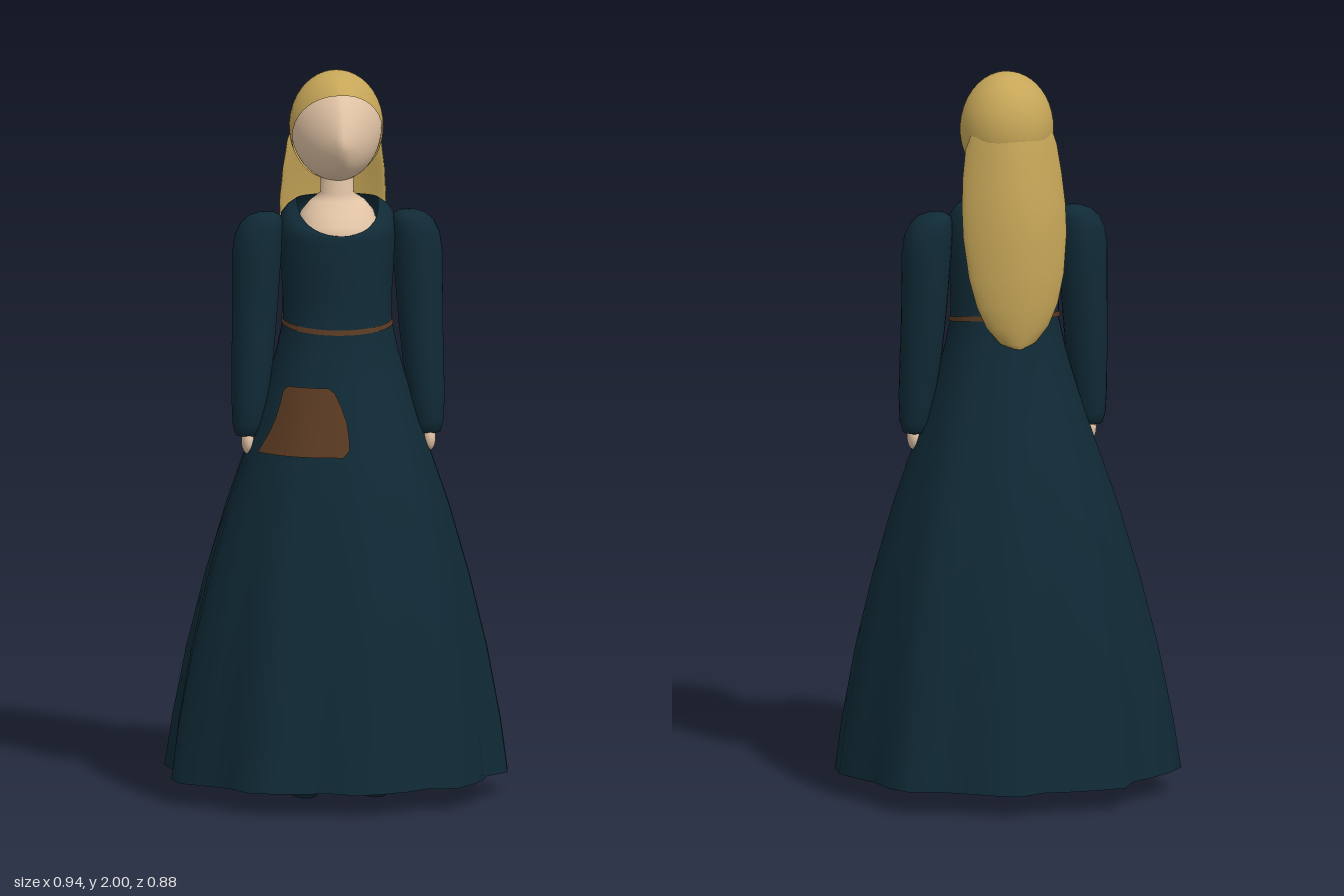
import * as THREE from 'three';

const mat = (name, color, side = THREE.DoubleSide) => {
  const m = new THREE.MeshStandardMaterial({ color, side });
  m.name = name;
  return m;
};

// Grid surface: point(row, u) with u in 0..1; rows run upward, u runs from +x towards +z
function surface(rows, n, point, wrap = true) {
  const pos = [], idx = [], cols = wrap ? n : n + 1;
  for (const row of rows)
    for (let i = 0; i < cols; i++) pos.push(...point(row, i / n));
  for (let j = 0; j < rows.length - 1; j++)
    for (let i = 0; i < n; i++) {
      const a = j * cols + i, b = j * cols + (i + 1) % cols;
      idx.push(a, a + cols, b, b, a + cols, b + cols);
    }
  const g = new THREE.BufferGeometry();
  g.setAttribute('position', new THREE.Float32BufferAttribute(pos, 3));
  g.setIndex(idx);
  g.computeVertexNormals();
  return g;
}

// Hem radius every 10 degrees: the folds of the skirt
const folds = [
  .47, .467, .42, .434, .44, .45, .40, .418, .428, .44, .40, .42, .445, .46, .43, .447, .485, .475,
  .455, .45, .485, .463, .44, .425, .463, .437, .418, .405, .447, .432, .417, .42, .463, .454, .433, .446,
];

// Dress rows: height, half width, front depth, back depth, dip at the front
const dressRows = [
  [.06, .445, .445, .445, 0], [.2, .43, .418, .418, 0], [.4, .398, .385, .385, 0], [.6, .355, .342, .342, 0],
  [.8, .302, .29, .29, 0], [.95, .253, .243, .243, 0], [1.05, .22, .207, .207, 0], [1.15, .19, .172, .177, 0],
  [1.23, .167, .148, .153, 0], [1.31, .15, .13, .132, 0], [1.38, .15, .125, .122, 0], [1.47, .156, .126, .115, 0],
  [1.55, .159, .125, .11, .01], [1.61, .155, .121, .1, .055], [1.635, .135, .12, .09, .078], [1.65, .112, .117, .08, .09],
];

function dressPoint([y, rx, front, back, dip], u) {
  const t = u * Math.PI * 2, c = Math.cos(t), s = Math.sin(t);
  const f = u * 36, i = Math.floor(f + 1e-6);
  const r = THREE.MathUtils.lerp(folds[i % 36], folds[(i + 1) % 36], Math.max(0, f - i));
  const k = 1 + THREE.MathUtils.clamp((1.2 - y) / 1.14, 0, 1) * (r / .445 - 1);
  return [rx * k * c, y - dip * Math.pow(Math.max(0, s), .7), (s > 0 ? front : back) * k * s];
}

// Dress row interpolated at any height
function dressRowAt(y) {
  let j = 0;
  while (dressRows[j + 1][0] < y) j++;
  const a = dressRows[j], b = dressRows[j + 1], t = (y - a[0]) / (b[0] - a[0]);
  return a.map((v, i) => v + (b[i] - v) * t);
}

// Point just above the cloth
function onDress(y, u, lift) {
  const row = dressRowAt(y);
  for (let i = 1; i < 4; i++) row[i] += lift;
  return dressPoint(row, u);
}

// Turns a unit sphere into the head, with the face drawn forward to a point
function shapeHead(g, scale) {
  const p = g.attributes.position;
  for (let i = 0; i < p.count; i++) {
    const a = p.getX(i), b = p.getY(i), c = p.getZ(i);
    const rho = Math.min(1, Math.hypot(a, b));
    let z = .13 * c, y = .15 * b;
    if (c > 0) {
      const mix = .2 + .35 * Math.abs(a) / Math.max(rho, .001);
      z = .178 * ((1 - mix) * c + mix * (1 - rho));
      y -= .03 * c * c;
    }
    p.setXYZ(i, .125 * a * scale, y * scale, z * scale);
  }
  g.computeVertexNormals();
  return g;
}

// Elliptical rows: height, centre x, centre z, half width, half depth
const tube = ([y, cx, cz, rx, rz = rx], u) =>
  [cx + rx * Math.cos(u * Math.PI * 2), y, cz + rz * Math.sin(u * Math.PI * 2)];

export function createModel() {
  const model = new THREE.Group();
  const cloth = mat('dark blue cloth', 0x102a36);
  const skin = mat('skin', 0xe2c4a6);
  const blond = mat('blond hair', 0xc6a658);
  const leather = mat('brown leather', 0x5a3a22);

  const add = (name, geometry, material, x = 0, y = 0, z = 0) => {
    const m = new THREE.Mesh(geometry, material);
    m.name = name;
    m.position.set(x, y, z);
    model.add(m);
    return m;
  };

  // Dress with an open hem and a scooped neckline
  add('dress', surface(dressRows, 36, dressPoint), cloth);

  // Belt, a little higher at the back
  add('belt', surface([-.007, .007], 72, (dy, u) =>
    onDress(1.315 - .02 * Math.sin(u * Math.PI * 2) + dy, u, .003)), leather);

  // Patch on the skirt: height, inner x, outer x
  const patchRows = [[.965, -.012, -.225], [.985, .005, -.215], [1.02, .005, -.197], [1.06, 0, -.18],
    [1.1, -.013, -.167], [1.135, -.028, -.158], [1.148, -.045, -.145]];
  add('skirtPatch', surface(patchRows, 12, ([y, x0, x1], u) => {
    const x = x0 + (x1 - x0) * u;
    return onDress(y, Math.acos(x / dressRowAt(y)[1]) / (Math.PI * 2), .006);
  }, false), leather);

  // Chest and neck
  add('chestAndNeck', surface([
    [1.45, 0, 0, .12, .1], [1.55, 0, 0, .12, .114], [1.58, 0, 0, .112, .1], [1.615, 0, 0, .1, .075],
    [1.645, 0, 0, .075, .052], [1.665, 0, -.003, .046, .046], [1.78, 0, -.005, .043, .045],
  ], 24, tube), skin);

  // Head and the hair over the crown
  add('head', shapeHead(new THREE.SphereGeometry(1, 40, 28), 1), skin, 0, 1.845, -.018);
  const crown = new THREE.SphereGeometry(1, 40, 20, 0, Math.PI * 2, 0, 1.85).rotateX(-1.107);
  add('crownHair', shapeHead(crown, 1.035), blond, 0, 1.845, -.018);

  // Long hair: height, half width, back z, z of the side edges
  const hairRows = [
    [1.25, .012, -.158, -.145], [1.265, .05, -.166, -.135], [1.31, .088, -.176, -.128], [1.37, .115, -.184, -.122],
    [1.45, .135, -.189, -.113], [1.56, .147, -.19, -.098], [1.64, .147, -.184, -.085], [1.72, .141, -.173, -.07],
    [1.8, .13, -.158, -.06], [1.86, .108, -.146, -.07], [1.9, .07, -.13, -.09],
  ];
  add('longHair', surface(hairRows, 32, ([y, w, back, edge], u) => {
    const c = Math.cos(u * Math.PI * 2), s = Math.sin(u * Math.PI * 2);
    const t = Math.min(.028, (edge - back) / 2.2);
    return [w * c, y, back + t + t * s + (edge - back - 1.3 * t) * c * c];
  }), blond);

  // Arms and legs, mirrored
  const sleeveRows = [
    [.995, .25, .02, .012], [1.0, .25, .02, .032], [1.03, .248, .02, .043], [1.1, .244, .019, .05],
    [1.2, .236, .012, .057], [1.3, .23, .006, .061], [1.4, .226, .002, .065], [1.5, .222, 0, .068],
    [1.55, .217, 0, .066], [1.585, .208, 0, .058], [1.603, .2, 0, .045], [1.612, .196, 0, .025], [1.613, .196, 0, .001],
  ];
  const legRows = [[.05, .095, -.02, .036], [.3, .095, -.02, .042], [.6, .09, -.01, .055], [.95, .085, 0, .065]];
  for (const [side, s] of [['left', 1], ['right', -1]]) {
    const mirrored = rows => rows.map(([y, x, ...rest]) => [y, s * x, ...rest]);
    add(side + 'Sleeve', surface(mirrored(sleeveRows), 24, tube), cloth);
    add(side + 'Hand', new THREE.SphereGeometry(1, 16, 12), skin, s * .25, .985, .03).scale.set(.018, .036, .026);
    add(side + 'Leg', surface(mirrored(legRows), 16, tube), cloth);
    // Shoe with a flattened sole
    const shoe = new THREE.SphereGeometry(1, 24, 16), p = shoe.attributes.position;
    for (let i = 0; i < p.count; i++) p.setY(i, Math.max(p.getY(i), -.75));
    shoe.scale(.048, .06, .105).computeVertexNormals();
    add(side + 'Shoe', shoe, cloth, s * .096, .045, .035);
  }
  return model;
}
